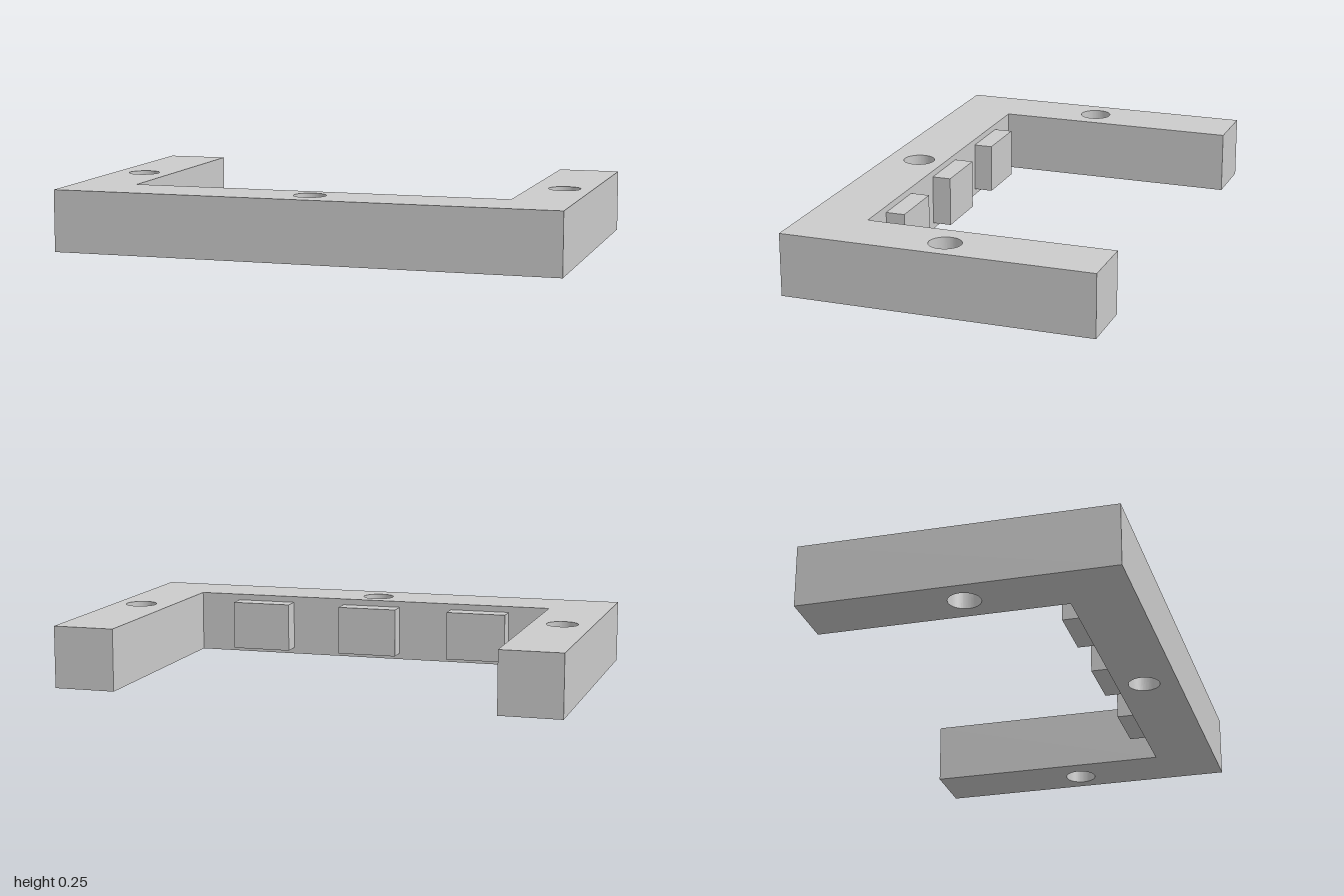
import * as THREE from 'three';

const HEIGHT = 0.245;

export function createModel() {
  const model = new THREE.Group();
  const material = new THREE.MeshStandardMaterial({ color: 0xcccccc });

  // U-shaped frame, drawn in plan with shape y = -z
  const plan = [
    [-1, -0.61], [1, -0.61], [1, 0.61], [0.755, 0.61],
    [0.755, -0.365], [-0.755, -0.365], [-0.755, 0.61], [-1, 0.61],
  ];
  const shape = new THREE.Shape(plan.map(([x, y]) => new THREE.Vector2(x, y)));

  // Screw holes through both arms and the front bar
  for (const [x, z] of [[-0.878, 0], [0.889, 0], [0, 0.475]]) {
    shape.holes.push(new THREE.Path().absarc(x, -z, 0.0625, 0, Math.PI * 2, true));
  }
  const frameGeometry = new THREE.ExtrudeGeometry(shape, {
    depth: HEIGHT, bevelEnabled: false, curveSegments: 32,
  });
  frameGeometry.rotateX(-Math.PI / 2);
  const frame = new THREE.Mesh(frameGeometry, material);
  frame.name = 'frame';
  model.add(frame);

  // Three pads on the inner face of the front bar
  const padGeometry = new THREE.BoxGeometry(0.245, 0.196, 0.075);
  [-0.465, 0, 0.465].forEach((x, i) => {
    const pad = new THREE.Mesh(padGeometry, material);
    pad.name = `pad${i + 1}`;
    pad.position.set(x, HEIGHT / 2, 0.3275);
    model.add(pad);
  });

  return model;
}
